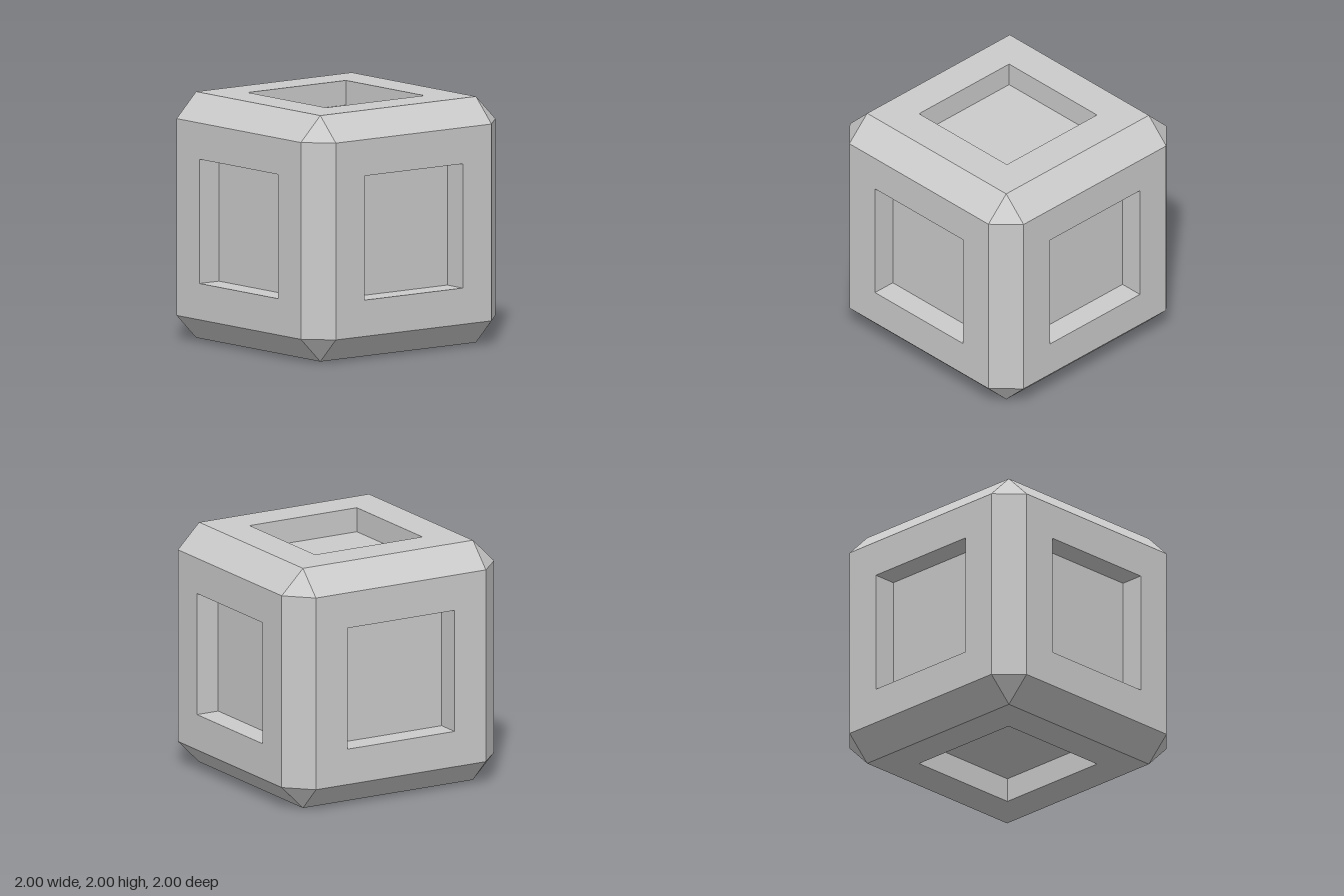
import * as THREE from 'three';

const HALF = 1;        // half size of the cube
const FLAT = 0.8;      // half size of each flat face, inside the bevels
const POCKET = 0.505;  // half size of the square recess
const DEPTH = 0.2;     // depth of the recess
const Q = Math.PI / 2;

const material = new THREE.MeshStandardMaterial({ color: 0xcccccc, flatShading: true });

function add(parent, name, geometry) {
  const mesh = new THREE.Mesh(geometry, material);
  mesh.name = name;
  parent.add(mesh);
}

function square(path, h) {
  path.moveTo(-h, -h).lineTo(h, -h).lineTo(h, h).lineTo(-h, h).closePath();
  return path;
}

// One face looking along +z: a square frame with a recessed panel
function makeFace(name) {
  const face = new THREE.Group();
  face.name = name;
  const shape = square(new THREE.Shape(), FLAT);
  shape.holes.push(square(new THREE.Path(), POCKET));
  add(face, 'faceFrame', new THREE.ShapeGeometry(shape).translate(0, 0, HALF));
  add(face, 'recessFloor', new THREE.PlaneGeometry(2 * POCKET, 2 * POCKET).translate(0, 0, HALF - DEPTH));
  for (let k = 0; k < 4; k++) {
    add(face, 'recessWall', new THREE.PlaneGeometry(2 * POCKET, DEPTH)
      .rotateX(-Q).translate(0, -POCKET, HALF - DEPTH / 2).rotateZ(k * Q));
  }
  return face;
}

export function createModel() {
  const model = new THREE.Group();
  model.name = 'bevelledCube';
  const cube = new THREE.Group();
  cube.name = 'cube';
  cube.position.y = HALF;
  model.add(cube);

  // Six recessed faces
  ['frontFace', 'leftFace', 'backFace', 'rightFace'].forEach((name, k) => {
    const face = makeFace(name);
    face.rotation.y = k * Q;
    cube.add(face);
  });
  const top = makeFace('topFace');
  top.rotation.x = -Q;
  const bottom = makeFace('bottomFace');
  bottom.rotation.x = Q;
  cube.add(top, bottom);

  // Twelve bevelled edges and eight corner triangles
  const bevel = (HALF - FLAT) * Math.SQRT2;
  const reach = (HALF + FLAT) / Math.SQRT2;
  for (let k = 0; k < 4; k++) {
    add(cube, 'uprightBevel', new THREE.PlaneGeometry(bevel, 2 * FLAT)
      .translate(0, 0, reach).rotateY((k + 0.5) * Q));
    for (const [name, tilt] of [['topBevel', -Q / 2], ['bottomBevel', Q / 2]]) {
      add(cube, name, new THREE.PlaneGeometry(2 * FLAT, bevel)
        .translate(0, 0, reach).rotateX(tilt).rotateY(k * Q));
    }
    for (const [name, flip] of [['topCorner', 0], ['bottomCorner', Math.PI]]) {
      const corner = new THREE.BufferGeometry().setFromPoints([
        new THREE.Vector3(HALF, FLAT, FLAT),
        new THREE.Vector3(FLAT, HALF, FLAT),
        new THREE.Vector3(FLAT, FLAT, HALF),
      ]);
      corner.computeVertexNormals();
      add(cube, name, corner.rotateX(flip).rotateY(k * Q));
    }
  }
  return model;
}
